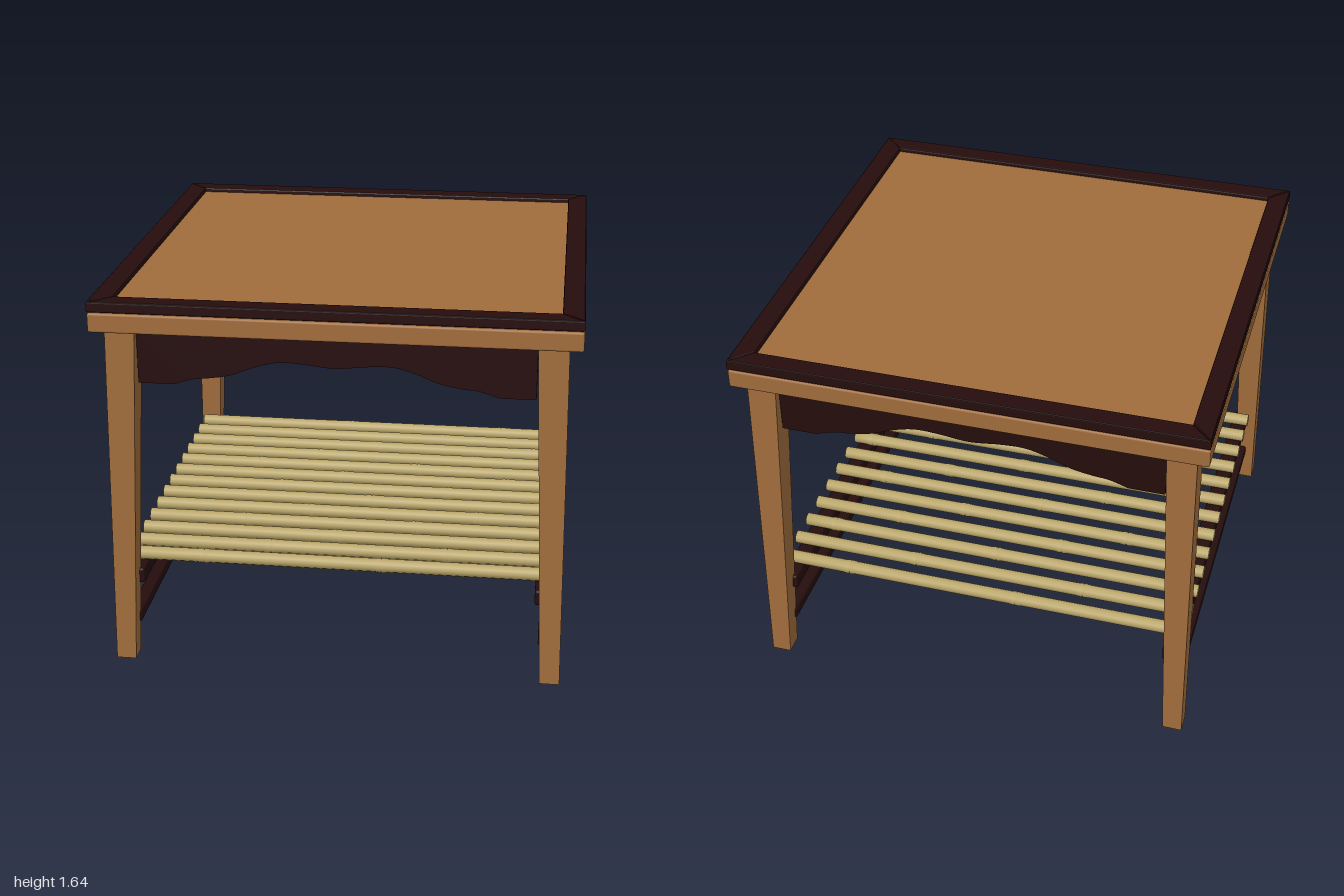
import * as THREE from 'three';
import { RoundedBoxGeometry } from 'three/addons/geometries/RoundedBoxGeometry.js';

const wood = new THREE.MeshStandardMaterial({ color: 0xa06c3c });
wood.name = 'warm wood';
const dark = new THREE.MeshStandardMaterial({ color: 0x260d0d });
dark.name = 'dark wood';
const cane = new THREE.MeshStandardMaterial({ color: 0xb8a468 });
cane.name = 'bamboo';

function add(parent, name, geometry, material, x = 0, y = 0, z = 0) {
  const mesh = new THREE.Mesh(geometry, material);
  mesh.name = name;
  mesh.position.set(x, y, z);
  parent.add(mesh);
  return mesh;
}

// Square leg that tapers and splays slightly outwards towards the floor
function legGeometry(sx, sz) {
  const top = 1.515;
  const geo = new THREE.BoxGeometry(1, 1, 1);
  const p = geo.attributes.position;
  for (let i = 0; i < p.count; i++) {
    const up = p.getY(i) > 0;
    const centre = up ? 0.8825 : 0.9225;
    const width = up ? 0.125 : 0.085;
    p.setXYZ(i, sx * centre + p.getX(i) * width, up ? top : 0, sz * centre + p.getZ(i) * width);
  }
  geo.computeVertexNormals();
  return geo;
}

// Apron board with a scalloped lower edge, facing +z
function apronGeometry() {
  const half = [[0.67, 1.275], [0.59, 1.3], [0.52, 1.308], [0.43, 1.325], [0.32, 1.367], [0.23, 1.388], [0.13, 1.385]];
  const edge = [...half, [0, 1.372], ...half.map(([x, y]) => [-x, y]).reverse()];
  const shape = new THREE.Shape();
  shape.moveTo(-0.82, 1.52);
  shape.lineTo(-0.82, 1.275);
  shape.lineTo(-0.67, 1.275);
  shape.splineThru(edge.reverse().slice(1).map(([x, y]) => new THREE.Vector2(x, y)));
  shape.lineTo(0.82, 1.275);
  shape.lineTo(0.82, 1.52);
  return new THREE.ExtrudeGeometry(shape, { depth: 0.04, bevelEnabled: false, curveSegments: 40 });
}

// Mitred frame piece along the front edge, lying flat
function frameGeometry() {
  const b = 0.007;
  const shape = new THREE.Shape();
  shape.moveTo(-1, -1);
  shape.lineTo(1, -1);
  shape.lineTo(0.91, -0.91);
  shape.lineTo(-0.91, -0.91);
  const geo = new THREE.ExtrudeGeometry(shape, {
    depth: 0.045 - 2 * b, bevelThickness: b, bevelSize: b, bevelOffset: -b, bevelSegments: 2,
  });
  return geo.rotateX(-Math.PI / 2).translate(0, b, 0);
}

// Bamboo cane along x, with a swollen, grooved ring at each node
function caneGeometry(nodes) {
  const end = 0.93, r = 0.03;
  const profile = [[0, -end], [r, -end]];
  for (const n of nodes) {
    profile.push([r, n - 0.03], [r + 0.003, n - 0.005], [r - 0.002, n], [r + 0.003, n + 0.005], [r, n + 0.03]);
  }
  profile.push([r, end], [0, end]);
  const geo = new THREE.LatheGeometry(profile.map(([x, y]) => new THREE.Vector2(x, y)), 10);
  return geo.rotateZ(-Math.PI / 2);
}

export function createModel() {
  const model = new THREE.Group();
  model.name = 'sideTable';

  // Table top: band, recessed panel and mitred frame
  add(model, 'topBand', new RoundedBoxGeometry(2, 0.082, 2, 2, 0.009), wood, 0, 1.555, 0);
  add(model, 'topPanel', new THREE.BoxGeometry(1.84, 0.05, 1.84), wood, 0, 1.6, 0);
  const frame = frameGeometry();
  const apron = apronGeometry();
  for (let i = 0; i < 4; i++) {
    add(model, 'topFrame', frame, dark, 0, 1.6, 0).rotation.y = i * Math.PI / 2;
    const side = new THREE.Group();
    side.name = 'apronSide';
    side.rotation.y = i * Math.PI / 2;
    add(side, 'apron', apron, dark, 0, 0, 0.875);
    model.add(side);
  }

  // Legs and the paired side rails
  for (const sx of [-1, 1]) {
    for (const sz of [-1, 1]) add(model, 'leg', legGeometry(sx, sz), wood);
    add(model, 'shelfRail', new RoundedBoxGeometry(0.07, 0.068, 1.78, 2, 0.01), dark, sx * 0.88, 0.367, 0);
    add(model, 'lowerRail', new RoundedBoxGeometry(0.056, 0.056, 1.78, 2, 0.01), dark, sx * 0.894, 0.168, 0);
  }

  // Shelf of thirteen canes with staggered nodes
  for (let i = 0; i < 13; i++) {
    const first = -0.6 + ((i * 5) % 13) * 0.055;
    const nodes = [first, first + 0.78].filter((n) => n < 0.88);
    add(model, 'shelfCane', caneGeometry(nodes), cane, 0, 0.43, 0.786 - i * 0.131);
  }
  return model;
}
